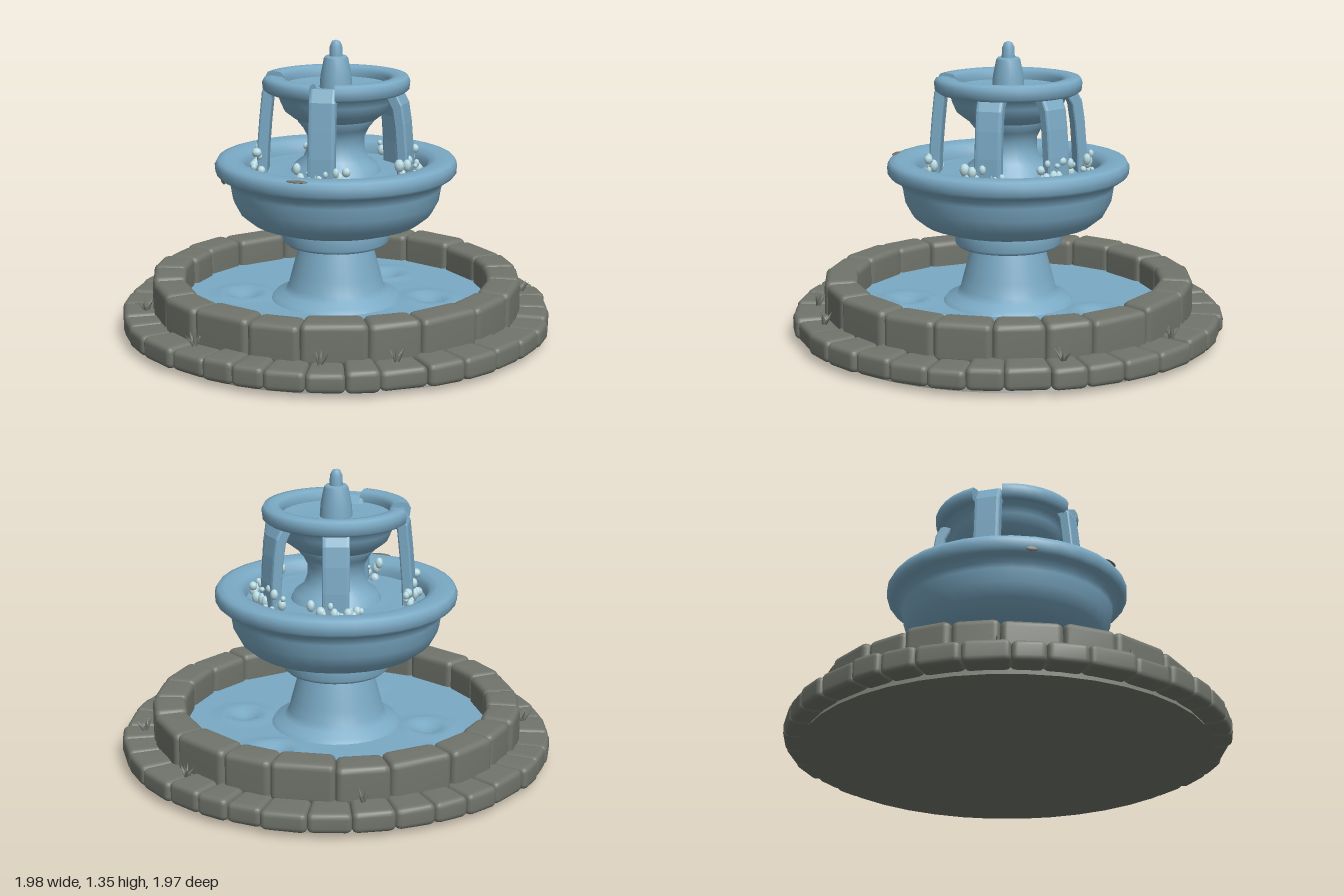
import * as THREE from 'three';
import { mergeVertices } from 'three/addons/utils/BufferGeometryUtils.js';
import { RoundedBoxGeometry } from 'three/addons/geometries/RoundedBoxGeometry.js';

const flat = (name, color, side = THREE.FrontSide) => {
  const m = new THREE.MeshStandardMaterial({ color, side });
  m.name = name;
  return m;
};

export function createModel() {
  const root = new THREE.Group();
  root.name = 'fountain';
  const blue = flat('blue glaze and water', 0x7aa9c4, THREE.DoubleSide);
  const stone = flat('grey stone', 0x70746b, THREE.DoubleSide);
  const foam = flat('pale foam', 0xb8dae2);
  const stain = flat('brown stain', 0x757069);

  let seed = 11;
  const rand = (a = 0, b = 1) => {
    seed = (seed * 16807) % 2147483647;
    return a + (b - a) * (seed / 2147483647);
  };
  const add = (name, geo, mat, parent = root) => {
    const mesh = new THREE.Mesh(geo, mat);
    mesh.name = name;
    parent.add(mesh);
    return mesh;
  };
  const group = (name) => {
    const g = new THREE.Group();
    g.name = name;
    root.add(g);
    return g;
  };
  const points = (list) => list.map(([x, y]) => new THREE.Vector2(x, y));
  const lathe = (name, list, mat, segments = 32, start = 0, length = Math.PI * 2, parent = root) =>
    add(name, new THREE.LatheGeometry(points(list), segments, start, length), mat, parent);

  // Ground slab
  lathe('baseSlab', [[0, 0], [0.91, 0], [0.91, 0], [0.87, 0.06], [0.87, 0.06], [0.66, 0.06]], stone, 40);

  // Rings of rounded stones bent around the centre
  function stoneRing(name, count, r0, r1, y0, y1, round, wobble) {
    const ring = group(name);
    const widths = Array.from({ length: count }, () => rand(0.78, 1.22));
    const total = widths.reduce((a, b) => a + b);
    const mid = (r0 + r1) / 2;
    let angle = -0.12;
    for (const w of widths) {
      const span = (w / total) * Math.PI * 2;
      const top = y1 + rand(-wobble, wobble);
      const push = rand(-wobble, wobble);
      const box = new RoundedBoxGeometry(span * mid + 0.004, top - y0, r1 - r0, 2, round);
      box.deleteAttribute('normal');
      box.deleteAttribute('uv');
      const geo = mergeVertices(box, 1e-4);
      const p = geo.attributes.position;
      for (let i = 0; i < p.count; i++) {
        const a = angle + span / 2 + p.getX(i) / mid;
        const r = mid + push + p.getZ(i);
        p.setXYZ(i, Math.sin(a) * r, p.getY(i) + (y0 + top) / 2, Math.cos(a) * r);
      }
      geo.computeVertexNormals();
      add('stone', geo, stone, ring);
      angle += span;
    }
  }
  stoneRing('outerStoneRing', 35, 0.79, 0.985, 0.025, 0.122, 0.026, 0.008);
  stoneRing('innerStoneRing', 21, 0.695, 0.85, 0.09, 0.272, 0.03, 0.008);

  // Small tufts growing on the step between the rings
  const tufts = group('tufts');
  for (const [x, z] of [[0.33, -0.82], [0.77, -0.44], [-0.47, -0.73], [-0.77, 0.42],
    [-0.36, 0.8], [0.23, 0.85], [0.52, 0.71]]) {
    for (let i = 0; i < 5; i++) {
      const blade = new THREE.ConeGeometry(0.012, 0.07, 5).translate(0, 0.03, 0);
      blade.rotateX(rand(0.2, 0.8)).rotateY(i * 1.26 + rand(0, 0.5));
      add('blade', blade.translate(x, 0.12, z), stone, tufts);
    }
  }

  // Pool water with dimples and raised ripples
  const pool = new THREE.RingGeometry(0.15, 0.73, 80, 20).rotateX(-Math.PI / 2);
  const pp = pool.attributes.position;
  const dips = [[-0.42, 0.1], [0.1, -0.44], [0.42, -0.12], [0.12, 0.45]];
  for (let i = 0; i < pp.count; i++) {
    let y = 0.145;
    for (const [x, z] of dips) {
      const d = Math.hypot(pp.getX(i) - x, pp.getZ(i) - z);
      y += 0.012 * Math.exp(-(((d - 0.1) / 0.03) ** 2)) - 0.025 * Math.exp(-((d / 0.06) ** 2));
    }
    pp.setY(i, y);
  }
  pool.computeVertexNormals();
  add('poolWater', pool, blue);

  // Pedestal with flared foot and collar
  lathe('pedestal', [[0.31, 0.13], [0.285, 0.165], [0.24, 0.18], [0.22, 0.21], [0.205, 0.27], [0.18, 0.36],
    [0.165, 0.41], [0.165, 0.41], [0.23, 0.41], [0.245, 0.425], [0.245, 0.49], [0.235, 0.505], [0.1, 0.51]], blue);

  // Large bowl, its rim and the water inside
  lathe('lowerBowl', [[0.2, 0.5], [0.33, 0.5], [0.39, 0.52], [0.44, 0.56], [0.472, 0.62], [0.482, 0.68],
    [0.49, 0.705], [0.51, 0.725], [0.535, 0.735], [0.55, 0.75], [0.553, 0.785], [0.54, 0.808], [0.51, 0.815],
    [0.46, 0.812], [0.43, 0.8], [0.415, 0.775], [0.41, 0.745], [0.41, 0.745], [0.34, 0.742],
    [0.28, 0.75], [0.25, 0.74], [0.19, 0.75]], blue);

  // Upper column
  lathe('upperColumn', [[0.21, 0.74], [0.19, 0.78], [0.15, 0.81], [0.13, 0.86], [0.13, 0.91], [0.15, 0.95],
    [0.175, 0.98], [0.175, 1.01]], blue, 24);

  // Small bowl below its rim
  lathe('upperBowl', [[0.1, 0.99], [0.19, 0.995], [0.235, 1.03], [0.255, 1.075], [0.265, 1.11], [0.3, 1.125],
    [0.32, 1.14], [0.3, 1.145], [0.24, 1.14], [0.15, 1.13], [0, 1.135]], blue);

  // Rim of the small bowl, broken by two spouts
  const rim = group('upperRim');
  const section = [[0.25, 1.125], [0.315, 1.118], [0.332, 1.13], [0.336, 1.165], [0.325, 1.187], [0.295, 1.192],
    [0.262, 1.187], [0.242, 1.165], [0.25, 1.125]];
  for (const [start, length, segments] of [[0.32, 4.45, 24], [-1.09, 1.07, 7]]) {
    lathe('rimArc', section, blue, segments, start, length, rim);
    for (const a of [start, start + length]) {
      const cap = new THREE.ShapeGeometry(new THREE.Shape(points(section)));
      add('rimEnd', cap.rotateY(a - Math.PI / 2), blue, rim);
    }
  }

  // Finial
  lathe('finial', [[0.075, 1.12], [0.07, 1.19], [0.055, 1.265], [0.048, 1.275], [0.03, 1.275], [0.03, 1.275],
    [0.028, 1.32], [0.018, 1.342], [0, 1.348]], blue, 16);

  // Falling streams, each with foam where it lands
  const streams = group('streams');
  const splashes = group('splashes');
  const spouts = [[0.15, 1.165], [1.57, 1.125], [2.52, 1.125], [3.58, 1.125], [-1.3, 1.165]];
  for (const [angle, top] of spouts) {
    const path = [[0.24, top - 0.015], [0.285, top - 0.01], [0.312, top - 0.06], [0.325, 0.98], [0.335, 0.86],
      [0.338, 0.74]];
    const outer = path.map(([r, y]) => [r + 0.012, y + 0.01]);
    const inner = path.map(([r, y]) => [r - 0.022, y - 0.01]).reverse();
    const shape = new THREE.Shape(points([...outer, ...inner]));
    const sheet = new THREE.ExtrudeGeometry(shape, {
      depth: 0.09, steps: 1, bevelEnabled: true, bevelThickness: 0.015, bevelSize: 0.008, bevelSegments: 2,
    });
    add('stream', sheet.translate(0, 0, -0.045).rotateY(angle - Math.PI / 2), blue, streams);
    for (let i = 0; i < 16; i++) {
      const a = angle + (i / 15 - 0.5) * 0.62;
      const r = rand(0.335, 0.385);
      const size = rand(0.01, 0.024);
      const drop = add('foam', new THREE.SphereGeometry(size, 8, 6), foam, splashes);
      drop.position.set(Math.sin(a) * r, rand(0.75, i % 3 ? 0.79 : 0.855), Math.cos(a) * r);
      drop.scale.y = rand(0.9, 1.5);
    }
  }

  // Worn patches on the large rim
  const patch = (x, y, z, sx, sy, sz, turn) => {
    const m = add('wornPatch', new THREE.SphereGeometry(1, 14, 8), stain);
    m.position.set(x, y, z);
    m.scale.set(sx, sy, sz);
    m.rotation.y = turn;
  };
  patch(0.01, 0.809, 0.53, 0.05, 0.005, 0.02, 0);
  patch(-0.4, 0.745, 0.372, 0.028, 0.012, 0.005, -0.82);

  return root;
}
